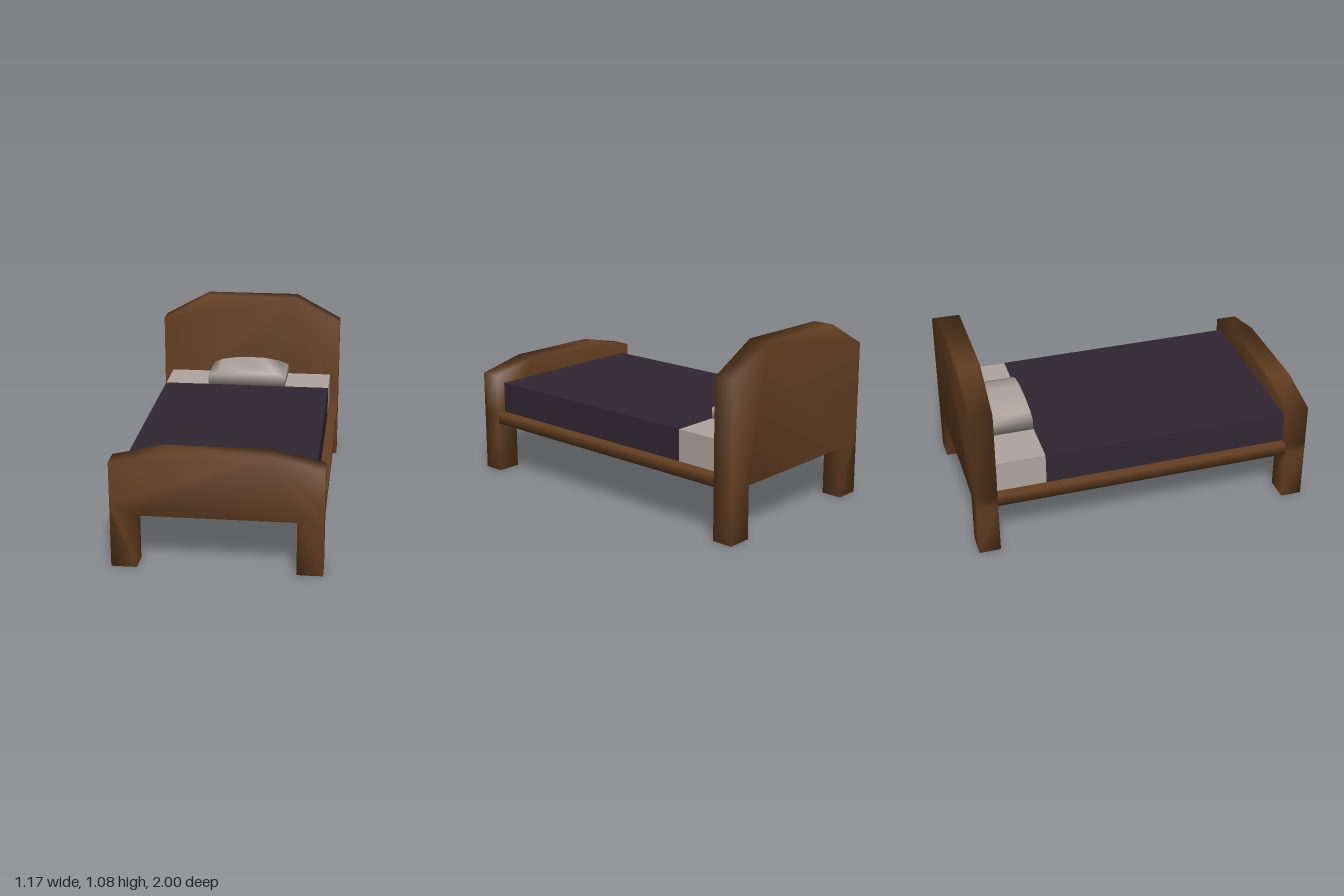
import * as THREE from 'three';
import { mergeVertices } from 'three/addons/utils/BufferGeometryUtils.js';

const flat = (name, color) => Object.assign(new THREE.MeshStandardMaterial({ color }), { name });

// Weld shared corners so shading rolls softly over the edges
function soften(geometry) {
  geometry.deleteAttribute('normal');
  geometry.deleteAttribute('uv');
  const welded = mergeVertices(geometry, 1e-4);
  welded.clearGroups();
  welded.computeVertexNormals();
  return welded;
}

// Symmetric outline (given for +x, bottom to top) extruded from z0 to z1
function slab(half, z0, z1) {
  const mirrored = half.map(([x, y]) => [-x, y]).reverse();
  const shape = new THREE.Shape([...half, ...mirrored].map(([x, y]) => new THREE.Vector2(x, y)));
  const g = new THREE.ExtrudeGeometry(shape, { depth: z1 - z0, bevelEnabled: false });
  g.translate(0, 0, z0);
  return soften(g);
}

// Box given by its limits, centred on x
function block(width, y0, y1, z0, z1) {
  const g = new THREE.BoxGeometry(width, y1 - y0, z1 - z0);
  g.translate(0, (y0 + y1) / 2, (z0 + z1) / 2);
  return g;
}

export function createModel() {
  const bed = new THREE.Group();
  bed.name = 'bed';
  const wood = flat('brown wood', 0x643f22);
  const cloth = flat('dark purple blanket', 0x31263200 >> 8);
  const linen = flat('pale linen', 0xb0a49e);

  const add = (name, geometry, material) => {
    const mesh = new THREE.Mesh(geometry, material);
    mesh.name = name;
    bed.add(mesh);
  };

  // End boards with their legs
  const board = (shoulder, crown) => [
    [0.44, 0.31], [0.44, 0], [0.585, 0], [0.585, 0.31], [0.585, 0.375],
    [0.585, shoulder], [0.295, crown],
  ];
  add('headboard', slab(board(0.92, 1.076), -1, -0.875), wood);
  add('footboard', slab(board(0.615, 0.681), 0.875, 1), wood);

  // Platform between the boards, without its hidden end faces
  const platform = block(1.17, 0.31, 0.375, -0.875, 0.875);
  platform.setIndex(Array.from(platform.index.array).slice(0, 24));
  add('platform', soften(platform), wood);

  // Mattress, split into blanket and bare sheet
  add('blanket', block(1.06, 0.375, 0.562, -0.578, 0.875), cloth);
  add('sheet', block(1.06, 0.375, 0.56, -0.875, -0.578), linen);

  // Pillow with an arched top
  const pillow = [[0.25, 0.56], [0.25, 0.622], [0.19, 0.647], [0.08, 0.664]];
  add('pillow', slab(pillow, -0.874, -0.58), linen);

  return bed;
}
